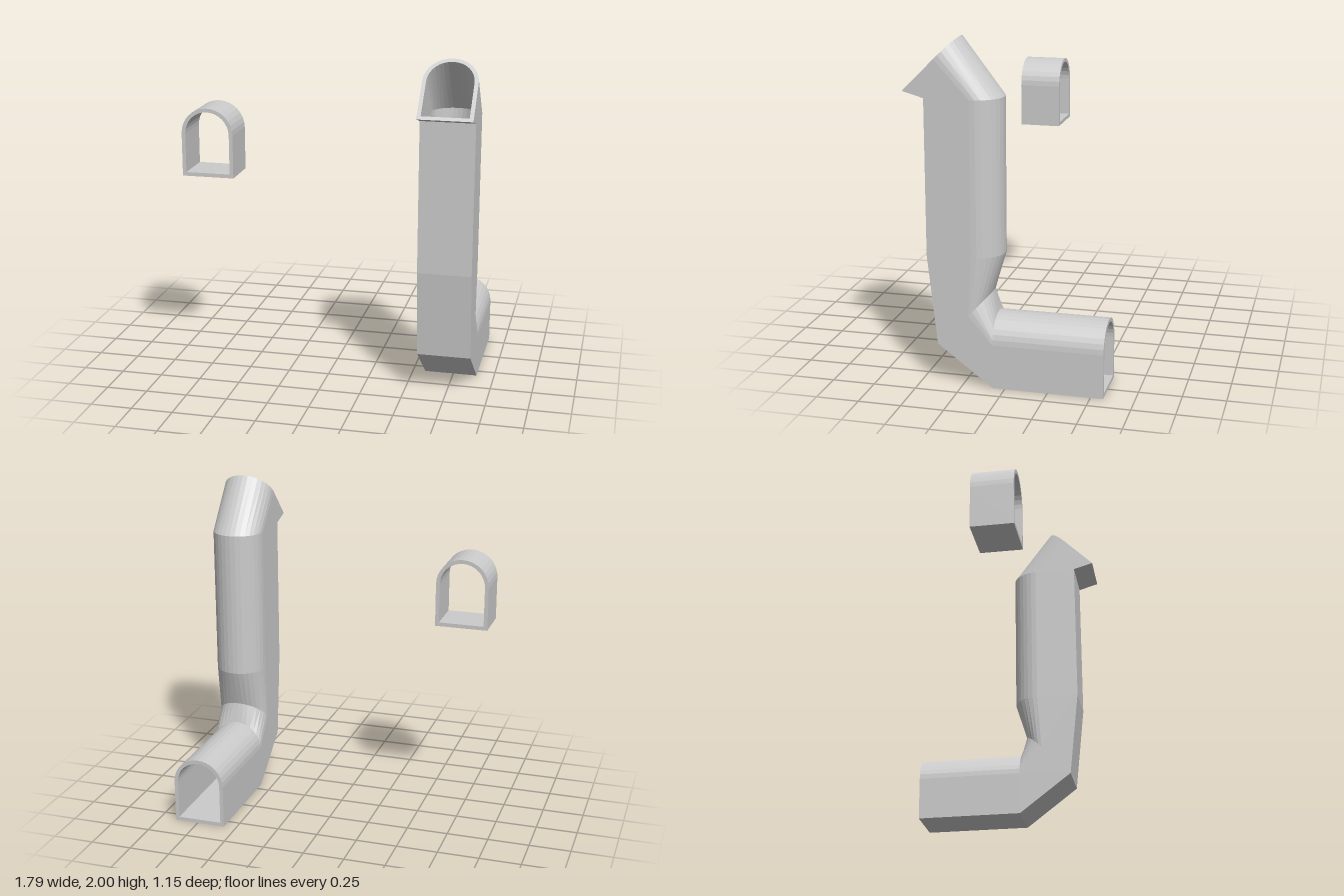
import * as THREE from 'three';

const HALF = 0.159;    // half width of the duct
const HEIGHT = 0.42;   // floor to crown
const WALL = 0.023;    // wall thickness
const ARCH_STEPS = 16;

// Arched cross-section: flat floor, straight sides, round top (x across, y up)
function archProfile(inset) {
  const r = HALF - inset;
  const spring = HEIGHT - HALF;
  const pts = [[-r, inset], [r, inset]];
  for (let i = 0; i <= ARCH_STEPS; i++) {
    const a = (Math.PI * i) / ARCH_STEPS;
    pts.push([r * Math.cos(a), spring + r * Math.sin(a)]);
  }
  return pts;
}

// Hollow duct through stations [floorZ, floorY, crownZ, crownY]
function ductGeometry(stations) {
  const place = (profile) => stations.map(([fz, fy, cz, cy]) =>
    profile.map(([x, h]) => {
      const k = h / HEIGHT;
      return [x, fy + (cy - fy) * k, fz + (cz - fz) * k];
    }));
  const outer = place(archProfile(0));
  const inner = place(archProfile(WALL));
  const n = outer[0].length;
  const last = stations.length - 1;
  const pos = [];
  const quad = (a, b, c, d) => pos.push(...a, ...b, ...c, ...a, ...c, ...d);

  for (let i = 0; i < n; i++) {
    const j = (i + 1) % n;
    for (let s = 0; s < last; s++) {
      quad(outer[s][i], outer[s][j], outer[s + 1][j], outer[s + 1][i]);
      quad(inner[s][j], inner[s][i], inner[s + 1][i], inner[s + 1][j]);
    }
    // rims at both open ends
    quad(outer[0][j], outer[0][i], inner[0][i], inner[0][j]);
    quad(outer[last][i], outer[last][j], inner[last][j], inner[last][i]);
  }
  const geo = new THREE.BufferGeometry();
  geo.setAttribute('position', new THREE.Float32BufferAttribute(pos, 3));
  geo.computeVertexNormals();
  return geo;
}

export function createModel() {
  const group = new THREE.Group();
  const material = new THREE.MeshStandardMaterial({ color: 0xcccccc, flatShading: true });
  const add = (name, x, stations) => {
    const mesh = new THREE.Mesh(ductGeometry(stations), material);
    mesh.name = name;
    mesh.position.x = x;
    group.add(mesh);
  };

  // Horizontal inlet, elbow, upright shaft and tilted mouth
  add('bentDuct', 0.735, [
    [-0.573, 0, -0.573, 0.42],
    [0.07, 0, 0.07, 0.42],
    [0.393, 0.243, 0.1, 0.54],
    [0.45, 0.77, 0.03, 0.77],
    [0.45, 1.67, 0.03, 1.67],
    [0.573, 1.705, 0.278, 2.0],
  ]);

  // Short separate straight piece
  add('shortDuct', -0.735, [
    [0.03, 1.222, 0.03, 1.642],
    [0.283, 1.222, 0.283, 1.642],
  ]);
  return group;
}
